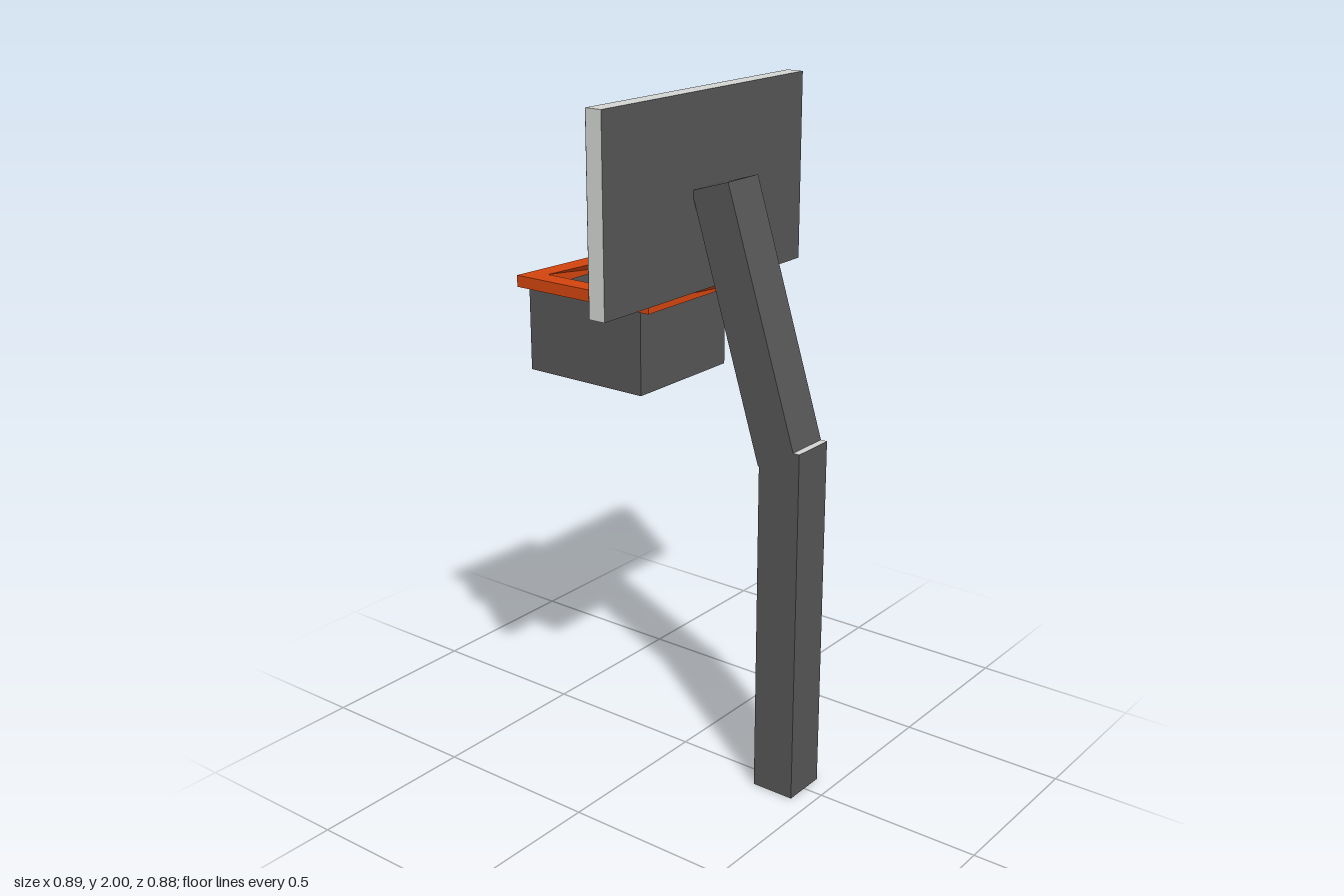
import * as THREE from 'three';

const mat = (name, color, side = THREE.FrontSide) => {
  const m = new THREE.MeshStandardMaterial({ color, side });
  m.name = name;
  return m;
};

export function createModel() {
  const group = new THREE.Group();
  const dark = mat('dark grey', 0x555555);
  const light = mat('light grey', 0xd2d4d2);
  const orange = mat('orange', 0xd2440e);

  const add = (name, geometry, material) => {
    const mesh = new THREE.Mesh(geometry, material);
    mesh.name = name;
    group.add(mesh);
    return mesh;
  };
  // Box given by its limits on each axis
  const box = (name, [x0, x1], [y0, y1], [z0, z1], material) =>
    add(name, new THREE.BoxGeometry(x1 - x0, y1 - y0, z1 - z0), material)
      .position.set((x0 + x1) / 2, (y0 + y1) / 2, (z0 + z1) / 2);

  const rect = (Type, x0, x1, y0, y1) => new Type([[x0, y0], [x1, y0], [x1, y1], [x0, y1]]
    .map(([x, y]) => new THREE.Vector2(x, y)));
  // Rectangular ring extruded along z
  const ring = (outer, inner, depth) => {
    const shape = rect(THREE.Shape, ...outer);
    shape.holes.push(rect(THREE.Path, ...inner));
    return new THREE.ExtrudeGeometry(shape, { depth, bevelEnabled: false });
  };

  // Post with a pale top, and the leaning arm that carries the board
  const px0 = -0.069, px1 = 0.067;
  box('post', [px0, px1], [0, 1.065], [0.308, 0.44], [dark, dark, light, dark, dark, dark]);
  const side = new THREE.Shape([[0.42, 1.065], [0.305, 1.0], [0.074, 1.738], [0.195, 1.775]]
    .map(([z, y]) => new THREE.Vector2(z, y)));
  const arm = new THREE.ExtrudeGeometry(side, { depth: px1 - px0, bevelEnabled: false });
  arm.rotateY(-Math.PI / 2).translate(px1, 0, 0);
  add('arm', arm, dark);

  // Backboard: pale slab, dark on the post side
  const bw = 0.444, by0 = 1.455, by1 = 2, bz = 0.03;
  box('backboard', [-bw, bw], [by0, by1], [bz, 0.08], [light, light, light, light, dark, light]);

  // Painted border and target marks on the playing side
  const border = ring([-bw, bw, by0, by1], [-bw + 0.018, bw - 0.018, by0 + 0.01, by1 - 0.015], 0.002);
  border.translate(0, 0, bz - 0.002);
  add('boardBorder', border, dark);
  const paint = [bz - 0.002, bz];
  box('targetTop', [-0.22, 0.21], [1.66, 1.667], paint, dark);
  for (const x of [-0.22, 0.203]) {
    box('targetUpperTick', [x, x + 0.008], [1.638, 1.66], paint, dark);
    box('targetLowerTick', [x, x + 0.008], [1.465, 1.49], paint, dark);
  }

  // Square rim, its upper face skewed towards the board on the left side
  const rim = ring([-0.215, 0.195, -0.04, 0.44], [-0.155, 0.135, 0.08, 0.375], 0.034);
  rim.rotateX(-Math.PI / 2).translate(0, 1.42, 0);
  const p = rim.attributes.position;
  for (let i = 0; i < p.count; i++) {
    if (p.getY(i) > 1.43 && p.getX(i) > 0) p.setZ(i, p.getZ(i) + 0.032);
  }
  rim.computeVertexNormals();
  add('rim', rim, orange);

  // Net: thin-walled square tube, open below
  const net = ring([-0.197, 0.19, 0.003, 0.41], [-0.193, 0.186, 0.007, 0.406], 0.245);
  net.rotateX(-Math.PI / 2).translate(0, 1.175, 0);
  add('net', net, dark);

  return group;
}
